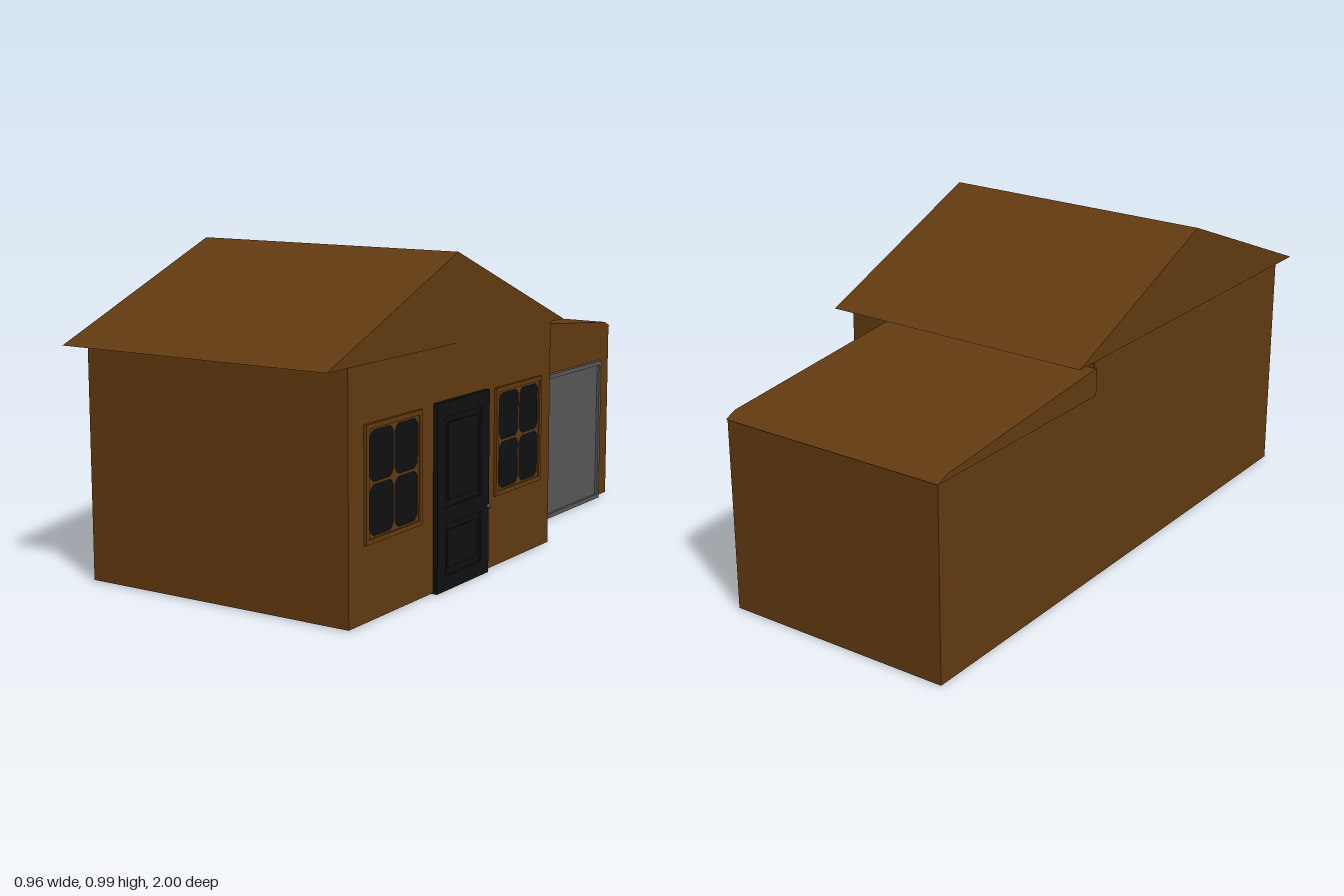
import * as THREE from 'three';

const mat = (name, color) => {
  const m = new THREE.MeshStandardMaterial({ color });
  m.name = name;
  return m;
};

export function createModel() {
  const house = new THREE.Group();
  house.name = 'house';
  const brown = mat('brown', 0x623a10);
  const black = mat('black', 0x0f1011);
  const grey = mat('grey', 0x585858);
  const metal = mat('dark metal', 0x3a3a3a);

  const add = (parent, name, geometry, material) => {
    const mesh = new THREE.Mesh(geometry, material);
    mesh.name = name;
    parent.add(mesh);
    return mesh;
  };
  // Box given by its lower and upper bounds
  const box = (parent, name, material, [x0, y0, z0], [x1, y1, z1]) => {
    const mesh = add(parent, name, new THREE.BoxGeometry(x1 - x0, y1 - y0, z1 - z0), material);
    mesh.position.set((x0 + x1) / 2, (y0 + y1) / 2, (z0 + z1) / 2);
    return mesh;
  };
  // Shape in [z, y] pairs, extruded along x from x0 to x1
  const path = (pts, Type = THREE.Shape) => new Type(pts.map(([z, y]) => new THREE.Vector2(-z, y)));
  const rect = (z0, y0, z1, y1, Type) => path([[z1, y0], [z0, y0], [z0, y1], [z1, y1]], Type);
  const extrude = (parent, name, material, shape, x0, x1) => {
    const g = new THREE.ExtrudeGeometry(shape, { depth: x1 - x0, bevelEnabled: false, curveSegments: 4 });
    g.rotateY(Math.PI / 2).translate(x0, 0, 0);
    return add(parent, name, g, material);
  };
  const ring = (parent, name, material, [z0, y0, z1, y1], w, x0, x1) => {
    const shape = rect(z0, y0, z1, y1);
    shape.holes.push(rect(z0 + w, y0 + w, z1 - w, y1 - w, THREE.Path));
    return extrude(parent, name, material, shape, x0, x1);
  };

  // Walls and roofs
  box(house, 'mainWalls', brown, [-0.475, 0.003, -0.24], [0.448, 0.725, 0.9]);
  extrude(house, 'gableRoof', brown, path([[1, 0.724], [-0.325, 0.724], [0.337, 0.99]]), -0.48, 0.45);
  box(house, 'garageWalls', brown, [-0.475, 0.003, -0.995], [0.283, 0.616, -0.238]);
  extrude(house, 'garageRoof', brown,
    path([[-0.235, 0.615], [-1, 0.615], [-0.96, 0.632], [-0.235, 0.702]]), -0.48, 0.285);

  // Garage door with raised surround
  const garageDoor = new THREE.Group();
  garageDoor.name = 'garageDoor';
  house.add(garageDoor);
  box(garageDoor, 'garagePanel', grey, [0.275, 0.002, -0.913], [0.288, 0.498, -0.297]);
  ring(garageDoor, 'garageSurround', grey, [-0.915, 0, -0.295, 0.5], 0.015, 0.28, 0.297);

  // Front door with two recessed panels, each holding a raised field
  const door = new THREE.Group();
  door.name = 'frontDoor';
  house.add(door);
  box(door, 'doorSlab', black, [0.436, 0.001, 0.172], [0.455, 0.562, 0.465]);
  const leaf = rect(0.17, 0, 0.467, 0.565);
  const panels = [[0.215, 0.045, 0.422, 0.2], [0.215, 0.25, 0.422, 0.52]];
  for (const p of panels) leaf.holes.push(rect(...p, THREE.Path));
  extrude(door, 'doorLeaf', black, leaf, 0.436, 0.463);
  for (const [z0, y0, z1, y1] of panels) {
    box(door, 'doorPanel', black, [0.45, y0 + 0.02, z0 + 0.02], [0.46, y1 - 0.02, z1 - 0.02]);
  }

  // Door knob, stem and keyhole plate
  const stem = add(door, 'knobStem', new THREE.CylinderGeometry(0.004, 0.004, 0.012, 12), metal);
  stem.rotation.z = Math.PI / 2;
  stem.position.set(0.467, 0.21, 0.186);
  add(door, 'knob', new THREE.SphereGeometry(0.008, 16, 10), metal).position.set(0.472, 0.21, 0.186);
  const lock = add(door, 'lock', new THREE.CylinderGeometry(0.005, 0.005, 0.003, 12), metal);
  lock.rotation.z = Math.PI / 2;
  lock.position.set(0.464, 0.228, 0.186);

  // Windows: four round-cornered panes behind a thin lattice, with an outer trim
  const pane = (z0, y0, z1, y1, r) => {
    const [a, b] = [-z1, -z0], p = new THREE.Path();
    p.moveTo(a + r, y0).lineTo(b - r, y0).quadraticCurveTo(b - r * 0.3, y0 + r * 0.3, b, y0 + r);
    p.lineTo(b, y1 - r).quadraticCurveTo(b - r * 0.3, y1 - r * 0.3, b - r, y1);
    p.lineTo(a + r, y1).quadraticCurveTo(a + r * 0.3, y1 - r * 0.3, a, y1 - r);
    p.lineTo(a, y0 + r).quadraticCurveTo(a + r * 0.3, y0 + r * 0.3, a + r, y0);
    return p;
  };
  for (const zc of [0.682, -0.028]) {
    const win = new THREE.Group();
    win.name = 'window';
    house.add(win);
    const yc = 0.392;
    box(win, 'glass', black, [0.44, yc - 0.155, zc - 0.13], [0.4515, yc + 0.155, zc + 0.13]);
    const lattice = rect(zc - 0.13, yc - 0.158, zc + 0.13, yc + 0.158);
    for (const s of [0, 1]) for (const t of [0, 1]) {
      const z0 = s ? zc + 0.003 : zc - 0.123, y0 = t ? yc + 0.003 : yc - 0.149;
      lattice.holes.push(pane(z0, y0, z0 + 0.12, y0 + 0.146, 0.02));
    }
    extrude(win, 'lattice', brown, lattice, 0.444, 0.453);
    ring(win, 'windowTrim', brown, [zc - 0.143, yc - 0.168, zc + 0.143, yc + 0.168], 0.014, 0.444, 0.457);
  }
  return house;
}
